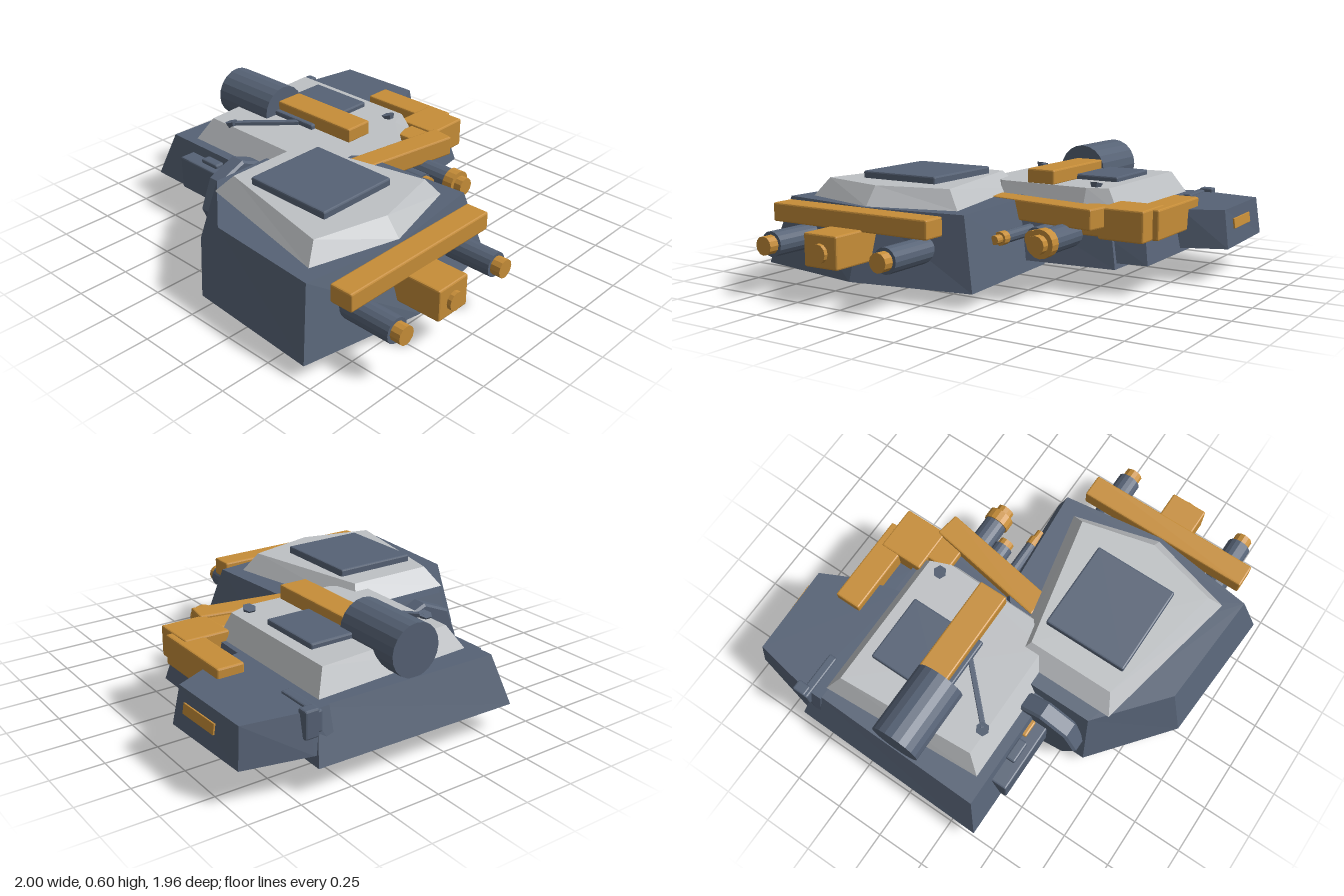
import * as THREE from 'three';
import { RoundedBoxGeometry } from 'three/addons/geometries/RoundedBoxGeometry.js';

export function createModel() {
  const model = new THREE.Group();
  const mat = (name, color) => {
    const m = new THREE.MeshStandardMaterial({ color, flatShading: true });
    m.name = name;
    return m;
  };
  const slate = mat('slate blue', 0x566275);
  const orange = mat('ochre orange', 0xc68d38);
  const grey = mat('light grey', 0xbec1c4);

  const add = (name, geo, material) => {
    const mesh = new THREE.Mesh(geo, material);
    mesh.name = name;
    model.add(mesh);
    return mesh;
  };

  // Box given by its limits, with a slim bevel
  const box = (name, m, x0, x1, y0, y1, z0, z1, bevel = 0.008) => {
    const mesh = add(name, new RoundedBoxGeometry(x1 - x0, y1 - y0, z1 - z0, 1, bevel), m);
    mesh.position.set((x0 + x1) / 2, (y0 + y1) / 2, (z0 + z1) / 2);
    return mesh;
  };

  // Cylinder lying along x
  const rod = (name, m, x0, x1, y, z, r, sides = 16) => {
    const geo = new THREE.CylinderGeometry(r, r, x1 - x0, sides).rotateZ(-Math.PI / 2);
    const mesh = add(name, geo, m);
    mesh.position.set((x0 + x1) / 2, y, z);
    return mesh;
  };

  // Sloping prism between two matching convex outlines of [x, z] points,
  // listed from the front right corner towards the left, then the back
  const frustum = (name, m, low, high, y0, y1) => {
    const pos = [];
    const n = low.length;
    const a = low.map(([x, z]) => [x, y0, z]);
    const b = high.map(([x, z]) => [x, y1, z]);
    const area = low.reduce((s, p, i) => {
      const q = low[(i + 1) % n];
      return s + p[0] * q[1] - q[0] * p[1];
    }, 0);
    const tri = (p, q, r) => pos.push(...p, ...(area > 0 ? r : q), ...(area > 0 ? q : r));
    for (let i = 0; i < n; i++) {
      const j = (i + 1) % n;
      tri(a[i], a[j], b[j]);
      tri(a[i], b[j], b[i]);
      if (i > 0 && i < n - 1) {
        tri(b[0], b[i], b[i + 1]);
        tri(a[0], a[i + 1], a[i]);
      }
    }
    const geo = new THREE.BufferGeometry();
    geo.setAttribute('position', new THREE.Float32BufferAttribute(pos, 3));
    geo.computeVertexNormals();
    return add(name, geo, m);
  };

  // Front platform with its raised deck and hatch
  frustum('frontPlatform', slate,
    [[0.69, 0.975], [0, 0.935], [-0.39, 0.62], [-0.39, 0.12], [0, -0.19], [0.69, -0.235], [0.8, 0.37]],
    [[0.62, 0.885], [0.03, 0.845], [-0.3, 0.57], [-0.3, 0.17], [0.03, -0.1], [0.62, -0.145], [0.69, 0.37]],
    0.07, 0.4);
  frustum('frontDeck', grey,
    [[0.55, 0.8], [-0.23, 0.64], [-0.23, 0.1], [0.55, -0.06], [0.67, 0.37]],
    [[0.51, 0.73], [-0.15, 0.59], [-0.15, 0.15], [0.51, 0.01], [0.6, 0.37]],
    0.4, 0.49);
  box('frontHatch', slate, -0.035, 0.43, 0.48, 0.525, 0.155, 0.585);

  // Rear platform with its raised deck and hatch
  frustum('rearPlatform', slate,
    [[0, 0.39], [-1, 0.39], [-0.98, -0.65], [0.13, -0.64], [0.18, -0.1]],
    [[-0.05, 0.33], [-0.92, 0.33], [-0.9, -0.6], [0.07, -0.58], [0.11, -0.1]],
    0.12, 0.35);
  frustum('rearDeck', grey,
    [[-0.1, 0.28], [-0.8, 0.28], [-0.85, -0.56], [-0.05, -0.56], [0.01, -0.4], [0, 0.1]],
    [[-0.14, 0.21], [-0.745, 0.21], [-0.79, -0.5], [-0.07, -0.5], [-0.03, -0.4], [-0.04, 0.08]],
    0.35, 0.46);
  box('rearHatch', slate, -0.625, -0.275, 0.45, 0.485, -0.44, -0.04);

  // Stepped blocks at the back
  frustum('middleBlock', slate,
    [[0.12, -0.5], [-0.45, -0.5], [-0.45, -0.78], [0.08, -0.78]],
    [[0.08, -0.5], [-0.4, -0.5], [-0.4, -0.745], [0.04, -0.745]],
    0.145, 0.3);
  frustum('backBlock', slate,
    [[-0.23, -0.55], [-0.96, -0.55], [-0.95, -0.65], [-0.88, -0.965], [-0.38, -0.985], [-0.29, -0.77]],
    [[-0.25, -0.55], [-0.91, -0.55], [-0.91, -0.65], [-0.86, -0.945], [-0.4, -0.955], [-0.31, -0.77]],
    0.165, 0.35);
  const plate = box('backPlate', orange, -0.705, -0.47, 0.25, 0.3, -0.976, -0.967, 0.002);
  plate.rotation.set(0.15, 0.04, 0);

  // Side bumper, with two round barrels and a square one
  box('bumper', orange, 0.69, 0.81, 0.31, 0.4, -0.08, 0.82);
  for (const z of [0.035, 0.7]) {
    rod('barrel', slate, 0.6, 0.95, 0.235, z, 0.06);
    rod('barrelTip', orange, 0.95, 1, 0.235, z, 0.045, 12);
  }
  box('squareBarrel', orange, 0.6, 0.98, 0.165, 0.32, 0.28, 0.47);
  rod('squareBarrelTip', orange, 0.97, 1, 0.235, 0.375, 0.045, 12);

  // Short barrels between the platforms
  rod('collaredBarrel', slate, 0.08, 0.35, 0.26, -0.4, 0.06);
  rod('barrelCollar', orange, 0.345, 0.4, 0.26, -0.4, 0.068);
  rod('collaredBarrelTip', orange, 0.4, 0.44, 0.26, -0.4, 0.045, 12);
  rod('shortBarrel', slate, 0.08, 0.26, 0.255, -0.295, 0.05);
  rod('shortBarrelTip', orange, 0.25, 0.295, 0.255, -0.295, 0.04, 12);
  rod('thinBarrel', slate, 0.08, 0.35, 0.26, -0.18, 0.03, 12);
  rod('thinBarrelCollar', orange, 0.345, 0.39, 0.26, -0.18, 0.033, 12);
  rod('thinBarrelTip', orange, 0.39, 0.435, 0.26, -0.18, 0.022, 12);

  // Linked beams running around the back
  box('backBeam', orange, -0.45, 0.015, 0.25, 0.395, -0.8, -0.665);
  box('cornerBeam', orange, -0.115, 0.115, 0.25, 0.4, -0.77, -0.54);
  box('cornerBrace', orange, -0.04, 0.11, 0.26, 0.39, -0.57, -0.42);
  const beam = box('diagonalBeam', orange, 0.042, 0.168, 0.305, 0.405, -0.57, 0.07);
  beam.rotation.y = -0.165;

  // Drum and beam above the rear deck
  rod('drum', slate, -0.905, -0.54, 0.472, -0.1, 0.126, 20);
  box('drumBeam', orange, -0.545, -0.04, 0.455, 0.53, -0.215, -0.065);

  // Octagonal wheel standing between the platforms
  const bevel = [[0, -0.047], [0.198, -0.047], [0.21, -0.035], [0.21, 0.035], [0.198, 0.047], [0, 0.047]];
  const wheel = add('wheel',
    new THREE.LatheGeometry(bevel.map(([r, h]) => new THREE.Vector2(r, h)), 8)
      .rotateY(Math.PI / 2).rotateZ(-Math.PI / 2), slate);
  wheel.position.set(-0.373, 0.21, 0.375);

  // Box on the front edge of the rear platform
  box('sideBox', slate, -0.77, -0.4, 0.13, 0.305, 0.3, 0.42);
  box('sideBoxLatch', slate, -0.645, -0.53, 0.29, 0.325, 0.335, 0.385);
  box('sideBoxTab', orange, -0.51, -0.42, 0.29, 0.315, 0.33, 0.36);

  // Handle beside the back block
  box('handle', slate, -0.945, -0.705, 0.26, 0.36, -0.65, -0.605);
  box('handleKnob', slate, -0.945, -0.89, 0.24, 0.37, -0.69, -0.62);

  // Thin rod and pegs on the rear deck
  const stay = box('deckRod', slate, -0.665, -0.325, 0.455, 0.48, 0.062, 0.088, 0.004);
  stay.rotation.y = Math.PI / 4;
  for (const [x, z] of [[-0.615, 0.195], [-0.09, -0.42]]) {
    const peg = add('deckPeg', new THREE.CylinderGeometry(0.034, 0.015, 0.045, 6), slate);
    peg.position.set(x, 0.455, z);
    peg.rotation.z = 0.3;
  }
  return model;
}
